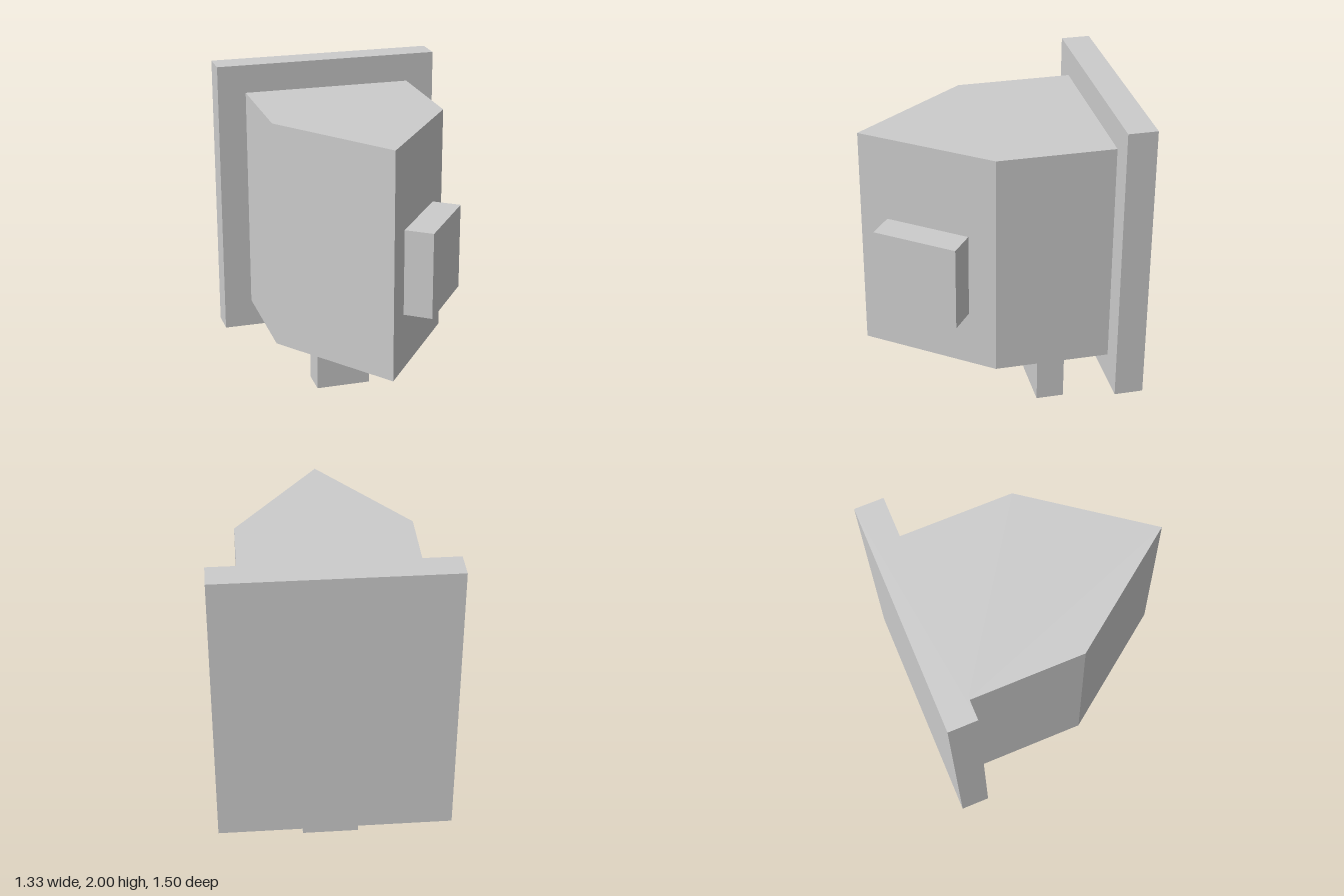
import * as THREE from 'three';

const U = 1 / 6; // base module all parts are sized from

export function createModel() {
  const group = new THREE.Group();
  const material = new THREE.MeshStandardMaterial({ color: 0xcccccc, flatShading: true });

  const add = (name, geometry, x, y, z) => {
    const mesh = new THREE.Mesh(geometry, material);
    mesh.name = name;
    mesh.position.set(x, y, z);
    group.add(mesh);
    return mesh;
  };
  const box = (w, h, d) => new THREE.BoxGeometry(w * U, h * U, d * U);

  // Flat plate at the back
  add('backPlate', box(8, 10, 1), 0, 7 * U, -4 * U);

  // Five-sided body with a pointed front; plan drawn as (x, -z)
  const plan = new THREE.Shape(
    [[-3, 3.5], [-3, -0.5], [0, -4.5], [3, -0.5], [3, 3.5]]
      .map(([x, y]) => new THREE.Vector2(x * U, y * U))
  );
  const body = new THREE.ExtrudeGeometry(plan, { depth: 8 * U, bevelEnabled: false });
  body.rotateX(-Math.PI / 2);
  add('body', body, 0, 3 * U, 0);

  // Square block lying on the middle of the left slanted face
  const normal = new THREE.Vector3(0.8, 0, 0.6);
  const block = add('sideBlock', box(3, 3, 1), 1.5 * U, 6.5 * U, 2.5 * U);
  block.position.addScaledVector(normal, U / 2);
  block.rotation.y = Math.atan2(normal.x, normal.z);

  // Short post under the body
  add('post', box(2, 3, 1), 0, 1.5 * U, -2 * U);

  return group;
}
